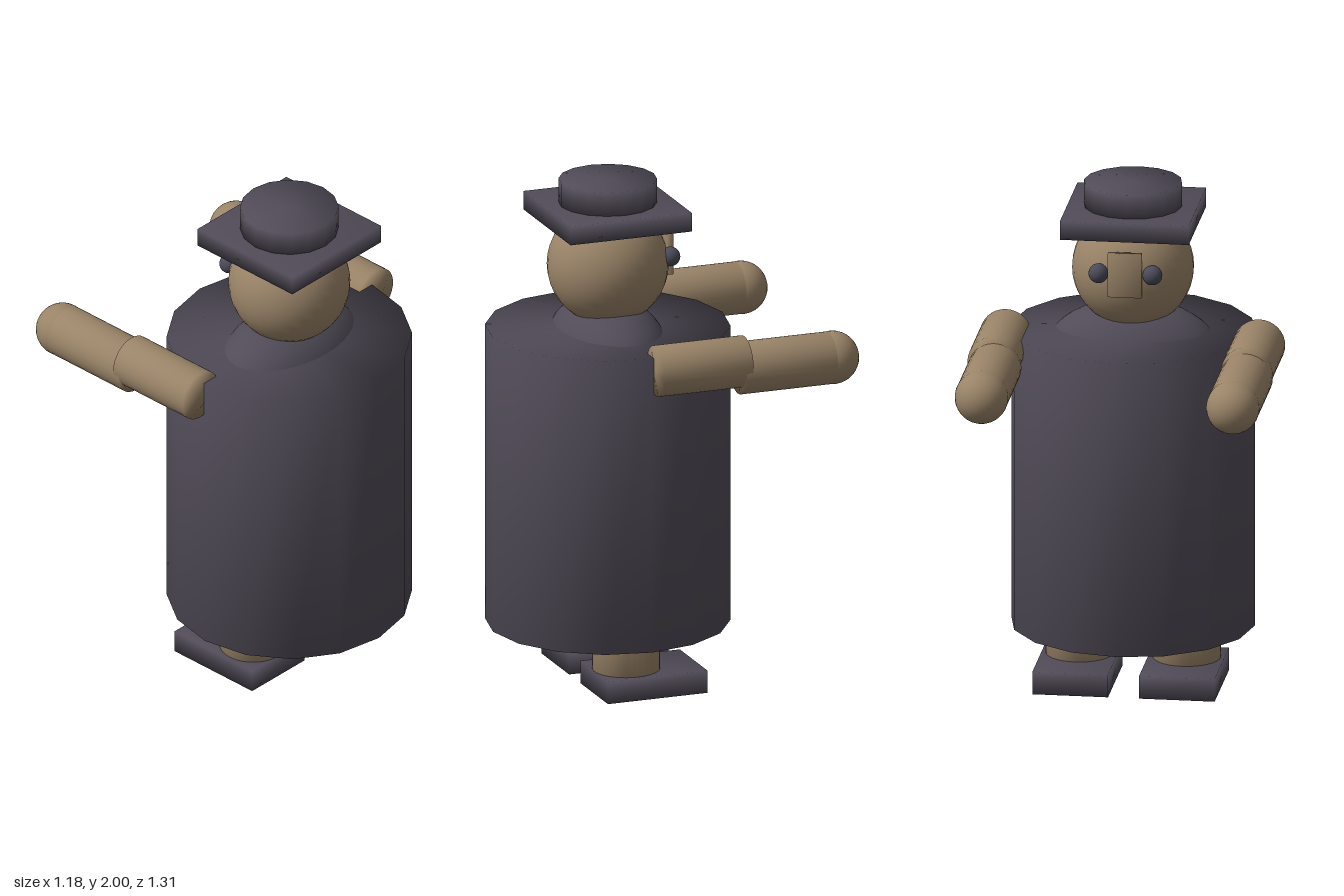
import * as THREE from 'three';
import { mergeVertices } from 'three/addons/utils/BufferGeometryUtils.js';

const CZ = 0.183; // z of the body axis

const dark = new THREE.MeshStandardMaterial({ color: 0x504b57 });
dark.name = 'charcoal cloth';
const skin = new THREE.MeshStandardMaterial({ color: 0x9a8468 });
skin.name = 'tan skin';
const eyeMat = new THREE.MeshStandardMaterial({ color: 0x4a4a59 });
eyeMat.name = 'slate eye';

// Share vertices over every edge, so shading flows softly across the caps
function soften(geometry) {
  geometry.deleteAttribute('normal');
  geometry.deleteAttribute('uv');
  const merged = mergeVertices(geometry, 1e-4);
  merged.computeVertexNormals();
  return merged;
}

export function createModel() {
  const model = new THREE.Group();

  function add(name, geometry, material, x, y, z) {
    const mesh = new THREE.Mesh(geometry, material);
    mesh.name = name;
    mesh.position.set(x, y, z);
    model.add(mesh);
    return mesh;
  }
  const box = (w, h, d) => soften(new THREE.BoxGeometry(w, h, d));
  const drum = (r, h, sides) => soften(new THREE.CylinderGeometry(r, r, h, sides));
  const ball = (r) => new THREE.SphereGeometry(r, 32, 20);

  // Robe and shoulders
  add('robe', drum(0.473, 1.183, 16), dark, 0, 0.8185, CZ);
  add('shoulders', ball(1), dark, 0, 1.3, CZ).scale.set(0.346, 0.22, 0.225);

  // Head and face, which looks towards -z
  add('head', ball(0.235), skin, 0, 1.658, CZ);
  add('nose', box(0.13, 0.175, 0.025), skin, 0, 1.693, -0.05);

  // Hat
  add('hatBrim', box(0.5, 0.075, 0.5), dark, 0, 1.868, CZ);
  add('hatCrown', drum(0.19, 0.097, 16), dark, 0, 1.9515, CZ);

  // Paired parts
  for (const [side, s] of [['left', 1], ['right', -1]]) {
    add(side + 'Eye', ball(0.038), eyeMat, s * 0.105, 1.692, -0.035);

    add(side + 'UpperArm', drum(0.1, 0.365, 32).rotateX(Math.PI / 2), skin,
      s * 0.492, 1.365, -0.0075);
    add(side + 'Forearm', drum(0.102, 0.375, 32).rotateX(Math.PI / 2), skin,
      s * 0.488, 1.338, -0.3525);
    add(side + 'Hand', ball(0.103), skin, s * 0.488, 1.338, -0.555);

    add(side + 'Leg', drum(0.131, 0.24, 32), skin, s * 0.208, 0.2, 0.188);
    add(side + 'Shoe', box(0.294, 0.09, 0.41), dark, s * 0.207, 0.045, 0.114);
  }
  return model;
}
